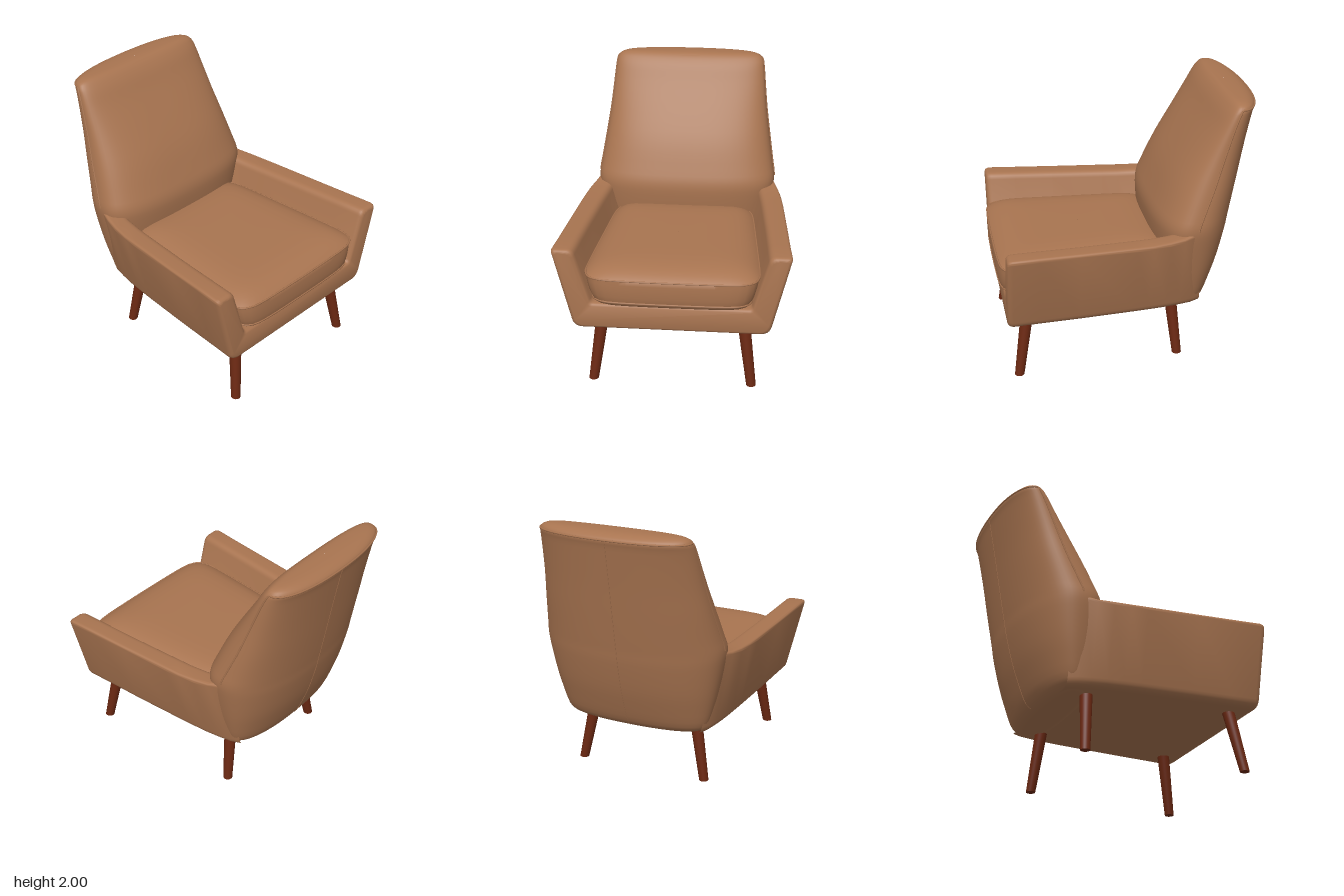
import * as THREE from 'three';
import { toCreasedNormals } from 'three/addons/utils/BufferGeometryUtils.js';

const V3 = (x, y, z) => new THREE.Vector3(x, y, z);

// Skin over closed rings with equal point counts; capEnd closes the last ring by triangulating it in xy.
function loft(rings, capEnd = false, crease = 0.8) {
  const n = rings[0].length, pos = [], idx = [];
  rings.forEach(r => r.forEach(p => pos.push(p.x, p.y, p.z)));
  for (let i = 0; i < rings.length - 1; i++) {
    for (let j = 0; j < n; j++) {
      const k = (j + 1) % n, a = i * n + j, b = i * n + k;
      idx.push(a, b, b + n, a, b + n, a + n);
    }
  }
  if (capEnd) {
    const last = rings[rings.length - 1], base = (rings.length - 1) * n;
    const flat = last.map(p => new THREE.Vector2(p.x, p.y));
    THREE.ShapeUtils.triangulateShape(flat, []).forEach(f => idx.push(...f.map(v => v + base)));
  }
  const g = new THREE.BufferGeometry();
  g.setAttribute('position', new THREE.Float32BufferAttribute(pos, 3));
  g.setIndex(idx);
  return toCreasedNormals(g, crease);
}

// Unit superellipse point at an angle
function superPoint(t, n) {
  const c = Math.cos(t), s = Math.sin(t);
  const r = 1 / Math.pow(Math.abs(c) ** n + Math.abs(s) ** n, 1 / n);
  return [c * r, s * r];
}

// U-shaped section of base and arms at one depth, with rounded corners
function armSection(z, outTop, outBottom, inTop, inBottom, yBottom, yTop, e = 0) {
  const corners = [
    [0, yBottom + e, 0], [outBottom - e, yBottom + e, 0.06], [outTop - e, yTop - e, 0.03],
    [inTop + e, yTop - e, 0.045], [inBottom + e, 0.66 - e, 0.03], [0, 0.66 - e, 0],
  ].map(([x, y, r]) => ({ p: V3(x, y, z), r }));
  const half = [];
  for (let i = 1; i < 5; i++) {
    const { p, r } = corners[i];
    const toward = q => p.clone().add(q.clone().sub(p).normalize().multiplyScalar(r));
    const curve = new THREE.QuadraticBezierCurve3(toward(corners[i - 1].p), p, toward(corners[i + 1].p));
    half.push(...curve.getPoints(6));
  }
  return [...half, ...half.map(p => V3(-p.x, p.y, p.z)).reverse()];
}

function armsAndBase() {
  // z, outer top, outer bottom, inner top, inner bottom, bottom y, top y, edge inset
  const stations = [
    [-0.52, 0.65, 0.53, 0.52, 0.44, 0.44, 1.09], [-0.45, 0.685, 0.565, 0.54, 0.45, 0.44, 1.08],
    [-0.36, 0.713, 0.585, 0.565, 0.465, 0.441, 1.06], [-0.25, 0.74, 0.605, 0.585, 0.48, 0.443, 1.053],
    [-0.12, 0.76, 0.62, 0.602, 0.495, 0.445, 1.05], [0, 0.772, 0.632, 0.614, 0.505, 0.447, 1.052],
    [0.4, 0.805, 0.665, 0.65, 0.54, 0.452, 1.06], [0.7, 0.828, 0.685, 0.673, 0.557, 0.456, 1.068],
    [0.885, 0.845, 0.698, 0.687, 0.567, 0.458, 1.072], [0.905, 0.845, 0.698, 0.687, 0.567, 0.46, 1.072, 0.003],
    [0.918, 0.845, 0.698, 0.687, 0.567, 0.46, 1.072, 0.01], [0.925, 0.845, 0.698, 0.687, 0.567, 0.46, 1.072, 0.022],
  ];
  return loft(stations.map(s => armSection(...s)), true);
}

// Backrest rows: y, half width, side seam z, front z, rear z
const backRows = [
  [0.43, 0.01, -0.42, -0.41, -0.43], [0.432, 0.42, -0.43, -0.32, -0.52], [0.45, 0.51, -0.44, -0.28, -0.575],
  [0.5, 0.56, -0.45, -0.26, -0.625], [0.65, 0.605, -0.455, -0.24, -0.685], [0.8, 0.64, -0.46, -0.22, -0.735],
  [1.0, 0.678, -0.46, -0.205, -0.785], [1.1, 0.687, -0.465, -0.212, -0.803], [1.2, 0.672, -0.5, -0.25, -0.822],
  [1.4, 0.64, -0.58, -0.34, -0.858], [1.6, 0.61, -0.65, -0.46, -0.893], [1.8, 0.588, -0.72, -0.59, -0.93],
  [1.9, 0.577, -0.76, -0.65, -0.949], [1.95, 0.566, -0.785, -0.688, -0.96], [1.98, 0.53, -0.795, -0.72, -0.925],
  [1.995, 0.42, -0.8, -0.75, -0.875], [2.0, 0.004, -0.8, -0.798, -0.802],
];
const backA = new THREE.CatmullRomCurve3(backRows.map(r => V3(r[0], r[1], r[2])), false, 'catmullrom', 0.5);
const backB = new THREE.CatmullRomCurve3(backRows.map(r => V3(r[3], r[4], 0)), false, 'catmullrom', 0.5);

// Point on the backrest: row position (fractional) and angle; angle 0 is the left side, PI/2 the rear
function backPoint(row, angle) {
  const t = row / (backRows.length - 1);
  const a = backA.getPoint(t), b = backB.getPoint(t);
  const rear = Math.sin(angle) >= 0;
  const [u, v] = superPoint(angle, rear ? 2.25 : 2.8);
  return V3(u * a.y, a.x, a.z - v * (rear ? a.z - b.y : b.x - a.z));
}

function backrest() {
  const rings = [], steps = (backRows.length - 1) * 3, n = 72;
  for (let i = 0; i <= steps; i++) {
    rings.push(Array.from({ length: n }, (_, j) => backPoint(i / 3, j / n * Math.PI * 2)));
  }
  return loft(rings);
}

// Point on the seat cushion outline, tapering toward the back and the bottom
function cushionPoint(angle, scale, y) {
  const [u, v] = superPoint(angle, 9);
  const z = 0.3 - v * 0.645 * scale;
  const width = 0.553 + 0.087 * z - Math.max(0, 0.865 - y) * 0.25;
  const bow = v < 0 ? 0.012 * (1 - u * u) * scale : 0;
  return V3(u * scale * width, y, z + bow);
}

function cushion() {
  const rows = [[0.5, 0.65], [0.96, 0.655], [0.985, 0.668], [0.997, 0.69], [1.006, 0.735], [1.008, 0.79], [1.005, 0.83], [1, 0.865]];
  for (const s of [0.985, 0.96, 0.92, 0.86, 0.78, 0.65, 0.5, 0.3, 0.002]) rows.push([s, 0.865 + 0.08 * (1 - s ** 7)]);
  return loft(rows.map(([s, y]) => Array.from({ length: 96 }, (_, j) => cushionPoint(j / 96 * Math.PI * 2, s, y))));
}

const piping = (points, radius, closed = false) =>
  new THREE.TubeGeometry(new THREE.CatmullRomCurve3(points, closed), points.length * 3, radius, 6, closed);

export function createModel() {
  const chair = new THREE.Group();
  chair.name = 'armchair';
  const leather = new THREE.MeshStandardMaterial({ color: 0xa87450 });
  leather.name = 'tan leather';
  const wood = new THREE.MeshStandardMaterial({ color: 0x6a2812 });
  wood.name = 'dark red wood';
  const add = (name, geometry, material = leather) => {
    const mesh = new THREE.Mesh(geometry, material);
    mesh.name = name;
    chair.add(mesh);
    return mesh;
  };

  add('armsAndBase', armsAndBase());
  add('backrest', backrest());
  add('seatCushion', cushion());

  // Piping around the cushion
  for (const [name, y, s] of [['cushionTopPiping', 0.865, 1], ['cushionBottomPiping', 0.69, 0.997]]) {
    add(name, piping(Array.from({ length: 64 }, (_, j) => cushionPoint(j / 64 * Math.PI * 2, s, y)), 0.007, true));
  }

  // Piping up one side of the back, around the rear top edge and down the other
  const side = Array.from({ length: 13 }, (_, i) => backPoint(7 + i * 0.5, 0));
  const rim = Array.from({ length: 23 }, (_, i) => backPoint(13, (i + 1) / 24 * Math.PI));
  const mirrored = side.map(p => V3(-p.x, p.y, p.z)).reverse();
  add('backPiping', piping([...side, ...rim, ...mirrored], 0.007));
  add('rearSeam', piping(Array.from({ length: 23 }, (_, i) => backPoint(2 + i * 0.5, Math.PI / 2)), 0.003));

  // Splayed tapered legs
  const legs = [
    ['frontLeg', V3(0.508, 0.49, 0.765), V3(0.575, 0, 0.845)],
    ['rearLeg', V3(0.41, 0.49, -0.322), V3(0.5, 0, -0.366)],
  ];
  for (const sign of [1, -1]) {
    for (const [name, top, foot] of legs) {
      const g = new THREE.CylinderGeometry(0.047, 0.035, 0.49, 24);
      // Shear each leg so that its foot sits flat on the floor
      const p = g.attributes.position;
      for (let i = 0; i < p.count; i++) {
        const t = p.getY(i) / 0.49 + 0.5;
        p.setXYZ(i, p.getX(i) + sign * THREE.MathUtils.lerp(foot.x, top.x, t), t * 0.49,
          p.getZ(i) + THREE.MathUtils.lerp(foot.z, top.z, t));
      }
      add((sign > 0 ? 'left ' : 'right ') + name, toCreasedNormals(g, 0.8), wood);
    }
  }
  return chair;
}
